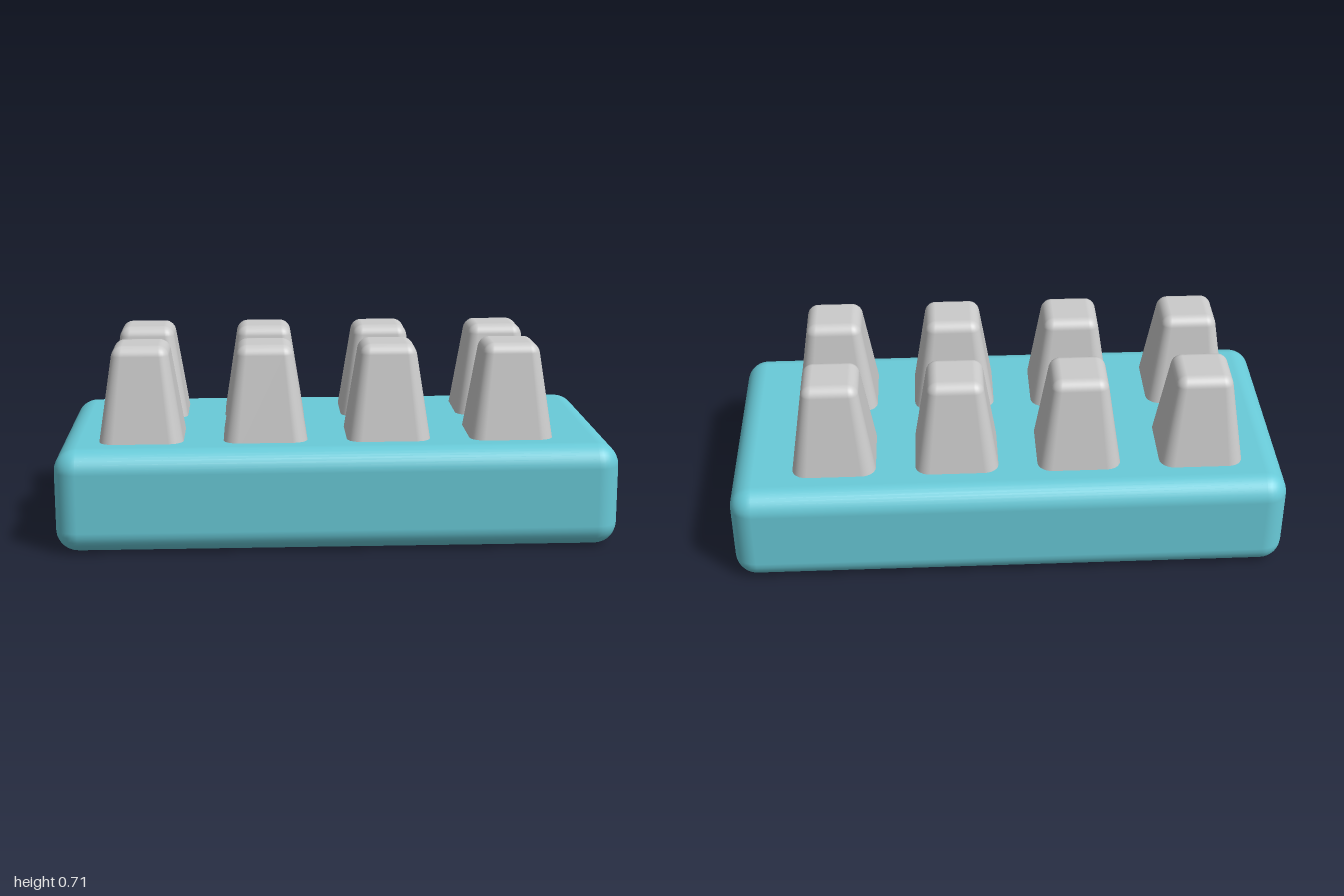
import * as THREE from 'three';
import { RoundedBoxGeometry } from 'three/addons/geometries/RoundedBoxGeometry.js';

const BASE_TOP = 0.37, STUD_TOP = 0.71, STUD_BOTTOM = 0.3;

// Rounded block narrowing upwards; normals follow the taper exactly
function taperedStud() {
  const height = STUD_TOP - STUD_BOTTOM;
  const geo = new RoundedBoxGeometry(0.2, height, 0.2, 4, 0.035);
  geo.translate(0, STUD_BOTTOM + height / 2, 0);
  const p = geo.attributes.position, n = geo.attributes.normal;
  const slope = -1.556;
  const m = new THREE.Vector3();
  for (let i = 0; i < p.count; i++) {
    const x = p.getX(i), y = p.getY(i), z = p.getZ(i);
    const s = 1.5 + slope * (y - BASE_TOP);
    const nx = n.getX(i) / s, nz = n.getZ(i) / s;
    m.set(nx, n.getY(i) - slope * (x * nx + z * nz), nz).normalize();
    n.setXYZ(i, m.x, m.y, m.z);
    p.setXYZ(i, x * s, y, z * s);
  }
  return geo;
}

export function createModel() {
  const model = new THREE.Group();
  model.name = 'studdedBlock';

  // Base slab
  const base = new THREE.Mesh(
    new RoundedBoxGeometry(2, BASE_TOP, 0.96, 4, 0.08),
    new THREE.MeshStandardMaterial({ color: 0x69cbd9 })
  );
  base.name = 'base';
  base.position.y = BASE_TOP / 2;
  model.add(base);

  // Two rows of four studs
  const studs = new THREE.Group();
  studs.name = 'studs';
  const geo = taperedStud();
  const grey = new THREE.MeshStandardMaterial({ color: 0xcccccc });
  for (const [row, z] of [['front', 0.207], ['back', -0.205]]) {
    [-0.697, -0.255, 0.186, 0.628].forEach((x, i) => {
      const stud = new THREE.Mesh(geo, grey);
      stud.name = `${row}Stud${i + 1}`;
      stud.position.set(x, 0, z);
      studs.add(stud);
    });
  }
  model.add(studs);
  return model;
}
